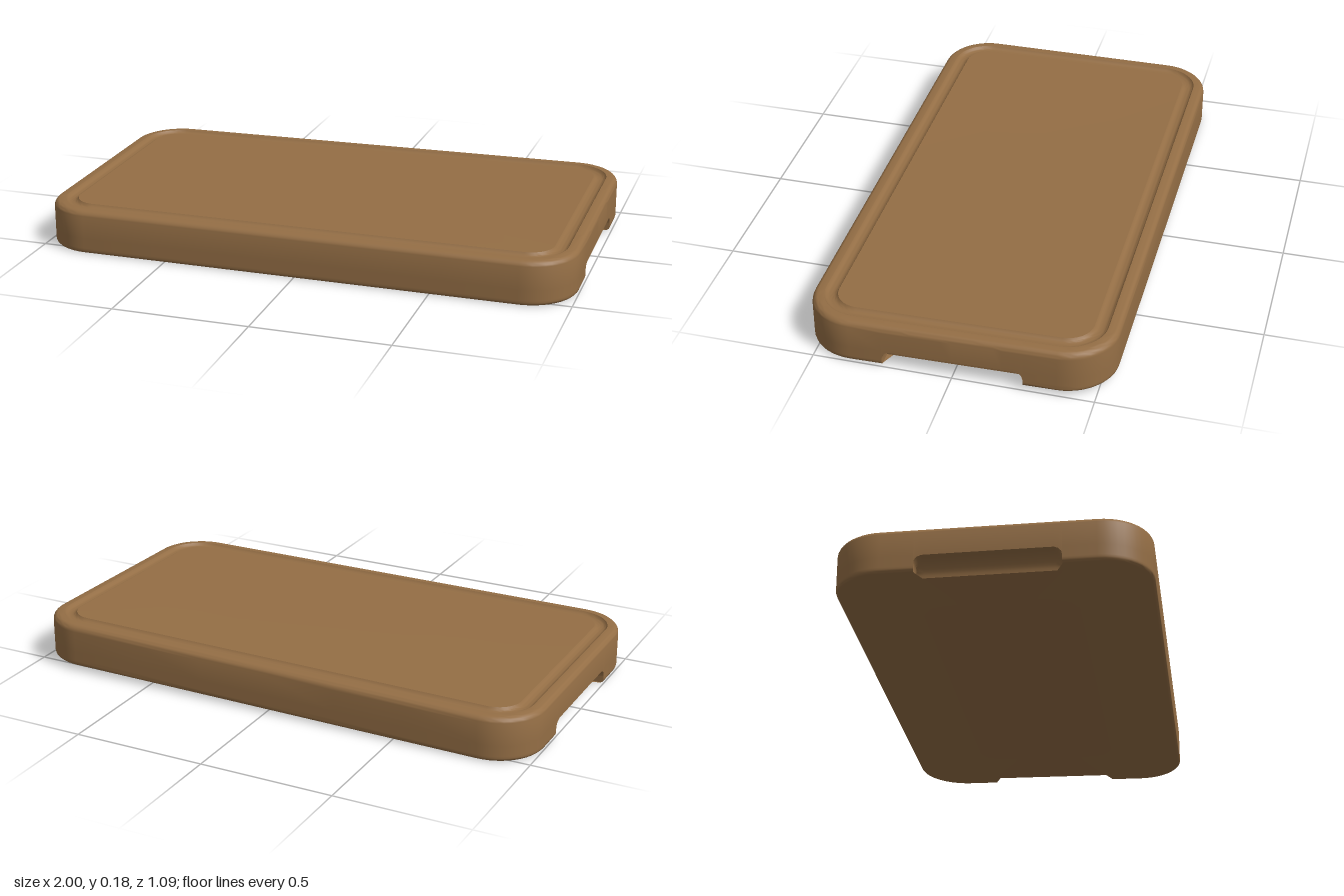
import * as THREE from 'three';
import { toCreasedNormals } from 'three/addons/utils/BufferGeometryUtils.js';

const HX = 0.998, HZ = 0.547, R = 0.18;      // half length, half width, corner radius
const H = 0.163, BASE = 0.002, EDGE = 0.025; // thickness, lowest height, top edge rounding
const GRIP = { half: 0.25, height: 0.058, depth: 0.06, round: 0.03 };
const LOW = 10;                              // points in the lower part of each profile

// Slight twist: the back left corner is lifted a little
const warp = (x, z) => BASE + 0.021 * ((x + 1) / 2) * ((0.55 - z) / 1.1);

// Stations around the rounded rectangle: position, outward normal, grip height
function outline() {
  const list = [];
  for (const s of [1, -1]) {
    const add = (x, z, nx, nz, grip = 0) =>
      list.push({ x: s * x, z: s * z, nx: s * nx, nz: s * nz, grip });
    const corner = (side, from) => {
      for (let i = 0; i <= 12; i++) {
        const a = from + (i / 12) * Math.PI / 2;
        add(HX - R + R * Math.cos(a), side * (HZ - R) + R * Math.sin(a), Math.cos(a), Math.sin(a));
      }
    };
    corner(-1, -Math.PI / 2);
    // End with the finger grip, its upper corners rounded
    add(HX, -GRIP.half, 1, 0);
    for (let i = 0; i <= 20; i++) {
      const z = -GRIP.half * Math.cos((i / 20) * Math.PI);
      const over = Math.max(0, Math.abs(z) - GRIP.half + GRIP.round);
      const drop = GRIP.round - Math.sqrt(Math.max(0, GRIP.round ** 2 - over ** 2));
      add(HX, z, 1, 0, GRIP.height - drop);
    }
    add(HX, GRIP.half, 1, 0);
    corner(1, 0);
    // Long side
    for (let i = 1; i < 6; i++) add((HX - R) * (1 - i / 3), HZ, 0, 1);
  }
  return list;
}

// Cross-section from the bottom edge to the inner lip of the groove: [inset, height]
function profile(grip) {
  const p = [];
  for (let k = 0; k < LOW; k++) {
    const t = k / (LOW - 1);
    if (grip) p.push([GRIP.depth * Math.cos(t * Math.PI / 2), grip * Math.sin(t * Math.PI / 2)]);
    else if (k < 4) {
      const a = (k / 3) * Math.PI / 2;
      p.push([0.012 * (1 - Math.sin(a)), 0.012 * (1 - Math.cos(a))]);
    } else p.push([0, 0.012 + ((k - 3) / (LOW - 4)) * (GRIP.height - 0.012)]);
  }
  // Rounded top edge
  for (let k = 0; k <= 6; k++) {
    const a = (k / 6) * Math.PI / 2;
    p.push([EDGE * (1 - Math.cos(a)), H - EDGE * (1 - Math.sin(a))]);
  }
  // Juice groove
  for (let k = 0; k <= 8; k++) {
    const u = k / 8;
    p.push([0.042 + 0.048 * u, H - 0.013 * Math.sqrt(Math.max(0, 1 - (2 * u - 1) ** 2))]);
  }
  return p;
}

function boardGeometry() {
  // Each station gives one column of points, closed to the centre line below and above
  const columns = outline().map((s) => {
    const pts = profile(s.grip).map(([d, y]) => [s.x - s.nx * d, y, s.z - s.nz * d]);
    const cx = THREE.MathUtils.clamp(s.x, -0.45, 0.45);
    const toward = ([x, y, z], t) => [x + (cx - x) * t, y, z * (1 - t)];
    const first = pts[0], last = pts[pts.length - 1];
    return [toward(first, 1), toward(first, 0.5), ...pts, toward(last, 0.5), toward(last, 1)]
      .map(([x, y, z]) => new THREE.Vector3(x, y + warp(x, z), z));
  });
  const pos = [];
  const tri = (a, b, c) => {
    if (new THREE.Triangle(a, b, c).getArea() < 1e-9) return;
    for (const v of [a, b, c]) pos.push(v.x, v.y, v.z);
  };
  columns.forEach((col, i) => {
    const next = columns[(i + 1) % columns.length];
    for (let j = 0; j < col.length - 1; j++) {
      tri(col[j], col[j + 1], next[j + 1]);
      tri(col[j], next[j + 1], next[j]);
    }
  });
  const geo = new THREE.BufferGeometry();
  geo.setAttribute('position', new THREE.Float32BufferAttribute(pos, 3));
  return toCreasedNormals(geo, 0.6);
}

export function createModel() {
  const wood = new THREE.MeshStandardMaterial({ color: 0x946e45 });
  wood.name = 'wood';
  const board = new THREE.Mesh(boardGeometry(), wood);
  board.name = 'cuttingBoard';
  const group = new THREE.Group();
  group.name = 'choppingBoard';
  group.add(board);
  return group;
}
